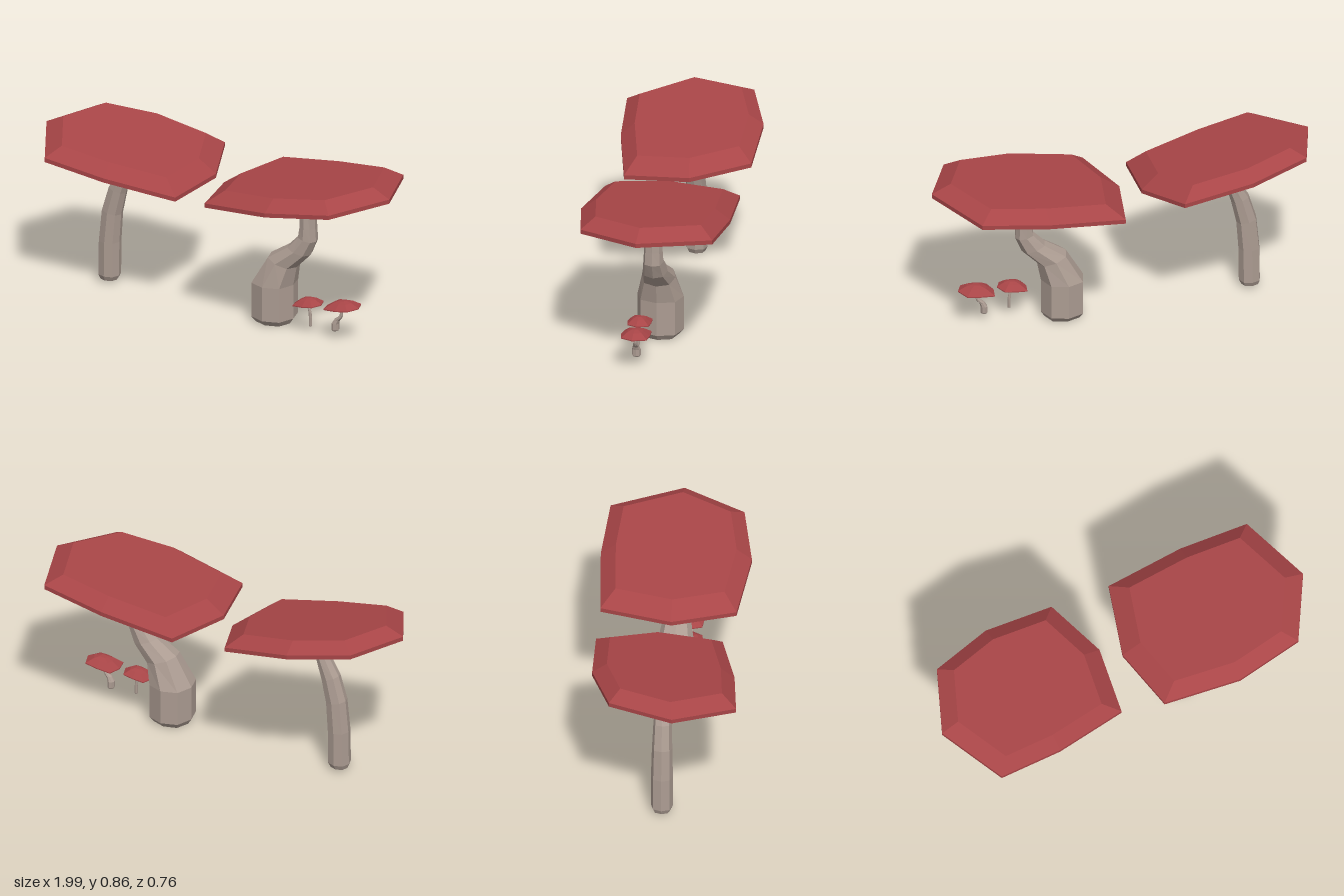
import * as THREE from 'three';

const red = new THREE.MeshStandardMaterial({ color: 0xa84547, flatShading: true });
const tan = new THREE.MeshStandardMaterial({ color: 0xac9c92, flatShading: true });

// Skin over a stack of rings (clockwise seen from above), closed at both ends
function loft(rings, material, name) {
  const pos = [];
  const tri = (...corners) => corners.forEach((c) => pos.push(...c));
  const middle = (ring) => [0, 1, 2].map((k) => ring.reduce((s, p) => s + p[k], 0) / ring.length);
  const low = rings[0], high = rings[rings.length - 1], n = low.length;
  const lowMid = middle(low), highMid = middle(high);
  for (let i = 0; i < n; i++) {
    const j = (i + 1) % n;
    for (let r = 0; r < rings.length - 1; r++) {
      const a = rings[r], b = rings[r + 1];
      tri(a[i], b[i], b[j]);
      tri(a[i], b[j], a[j]);
    }
    tri(lowMid, low[i], low[j]);
    tri(highMid, high[j], high[i]);
  }
  const geometry = new THREE.BufferGeometry();
  geometry.setAttribute('position', new THREE.Float32BufferAttribute(pos, 3));
  geometry.computeVertexNormals();
  const mesh = new THREE.Mesh(geometry, material);
  mesh.name = name;
  return mesh;
}

// Cap: outline of [x, z] on a tilted plane, stacked as [scale, height] levels
function cap(outline, cx, cz, plane, levels) {
  const rings = levels.map(([s, h]) => outline.map(([x, z]) => {
    const px = cx + (x - cx) * s, pz = cz + (z - cz) * s;
    return [px, plane(px, pz) + h, pz];
  }));
  return loft(rings, red, 'cap');
}

// Stem: eight-sided sections of [left x, left y, right x, right y, half depth]
function stem(sections, z, sides = 8) {
  const rings = sections.map(([xl, yl, xr, yr, d]) => Array.from({ length: sides }, (_, i) => {
    const a = (i / sides) * Math.PI * 2;
    const k = i % 2 ? 1.06 : 1;
    const t = 0.5 - 0.5 * k * Math.cos(a);
    return [xl + (xr - xl) * t, yl + (yr - yl) * t, z - d * k * Math.sin(a)];
  }));
  return loft(rings, tan, 'stem');
}

function mushroom(name, ...parts) {
  const group = new THREE.Group();
  group.name = name;
  group.add(...parts);
  return group;
}

export function createModel() {
  const model = new THREE.Group();
  model.name = 'mushrooms';
  const flat = [[1, 0], [1, 0.022], [0.8, 0.078]];
  const dome = [[1, 0], [1, 0.005], [0.55, 0.029], [0.2, 0.039]];

  // Thick-stemmed mushroom
  const leftOutline = [[0.01, 0], [0.09, -0.36], [0.49, -0.385], [0.84, -0.36],
    [0.99, 0], [0.83, 0.31], [0.49, 0.37], [0.1, 0.32]];
  model.add(mushroom('leftMushroom',
    cap(leftOutline, 0.5, -0.01, (x) => 0.65 + 0.118 * x, flat),
    stem([
      [0.22, 0, 0.4, 0, 0.09], [0.2, 0.03, 0.42, 0.03, 0.117],
      [0.2, 0.21, 0.42, 0.21, 0.117], [0.29, 0.36, 0.44, 0.31, 0.085],
      [0.4, 0.43, 0.52, 0.39, 0.063], [0.46, 0.49, 0.555, 0.47, 0.051],
      [0.47, 0.55, 0.55, 0.54, 0.047], [0.468, 0.71, 0.545, 0.715, 0.034],
    ], 0)));

  // Slender mushroom
  const rightOutline = [[-1, 0.07], [-0.89, -0.25], [-0.58, -0.355], [-0.22, -0.36],
    [-0.085, -0.07], [-0.11, 0.265], [-0.48, 0.35], [-0.81, 0.38]];
  model.add(mushroom('rightMushroom',
    cap(rightOutline, -0.54, 0.01,
      (x, z) => 0.63 - 0.157 * (x + 0.11) - 0.08 * (z - 0.265), flat),
    stem([
      [-0.715, 0.015, -0.628, 0.015, 0.043], [-0.725, 0.04, -0.615, 0.04, 0.055],
      [-0.722, 0.22, -0.613, 0.22, 0.055], [-0.705, 0.39, -0.602, 0.37, 0.051],
      [-0.665, 0.52, -0.575, 0.49, 0.046], [-0.61, 0.61, -0.545, 0.59, 0.039],
      [-0.535, 0.715, -0.49, 0.705, 0.03],
    ], 0)));

  // Two small domed mushrooms at the foot of the thick stem
  const small = (cx, cz, w, d) => leftOutline.map(([x, z]) =>
    [cx + (x - 0.5) * w, cz + (z + 0.007) * d]);
  model.add(mushroom('smallLeftMushroom',
    cap(small(0.745, 0.047, 0.19, 0.192), 0.745, 0.047, (x) => 0.163 + 0.11 * (x - 0.65), dome),
    stem([
      [0.688, 0.045, 0.717, 0.045, 0.018], [0.685, 0.05, 0.72, 0.05, 0.022],
      [0.685, 0.083, 0.72, 0.083, 0.022], [0.7, 0.108, 0.725, 0.1, 0.016],
      [0.72, 0.122, 0.739, 0.115, 0.012], [0.73, 0.133, 0.746, 0.13, 0.009],
      [0.732, 0.174, 0.746, 0.174, 0.006],
    ], 0.05)));
  model.add(mushroom('smallMiddleMushroom',
    cap(small(0.552, 0.064, 0.156, 0.16), 0.552, 0.064, (x) => 0.148 + 0.11 * (x - 0.475), dome.map(([s, h]) => [s, h * 0.95])),
    stem([
      [0.558, 0.043, 0.572, 0.043, 0.006], [0.557, 0.047, 0.573, 0.047, 0.008],
      [0.557, 0.09, 0.573, 0.09, 0.008], [0.554, 0.12, 0.57, 0.116, 0.007],
      [0.544, 0.158, 0.554, 0.158, 0.005],
    ], 0.066)));

  return model;
}
